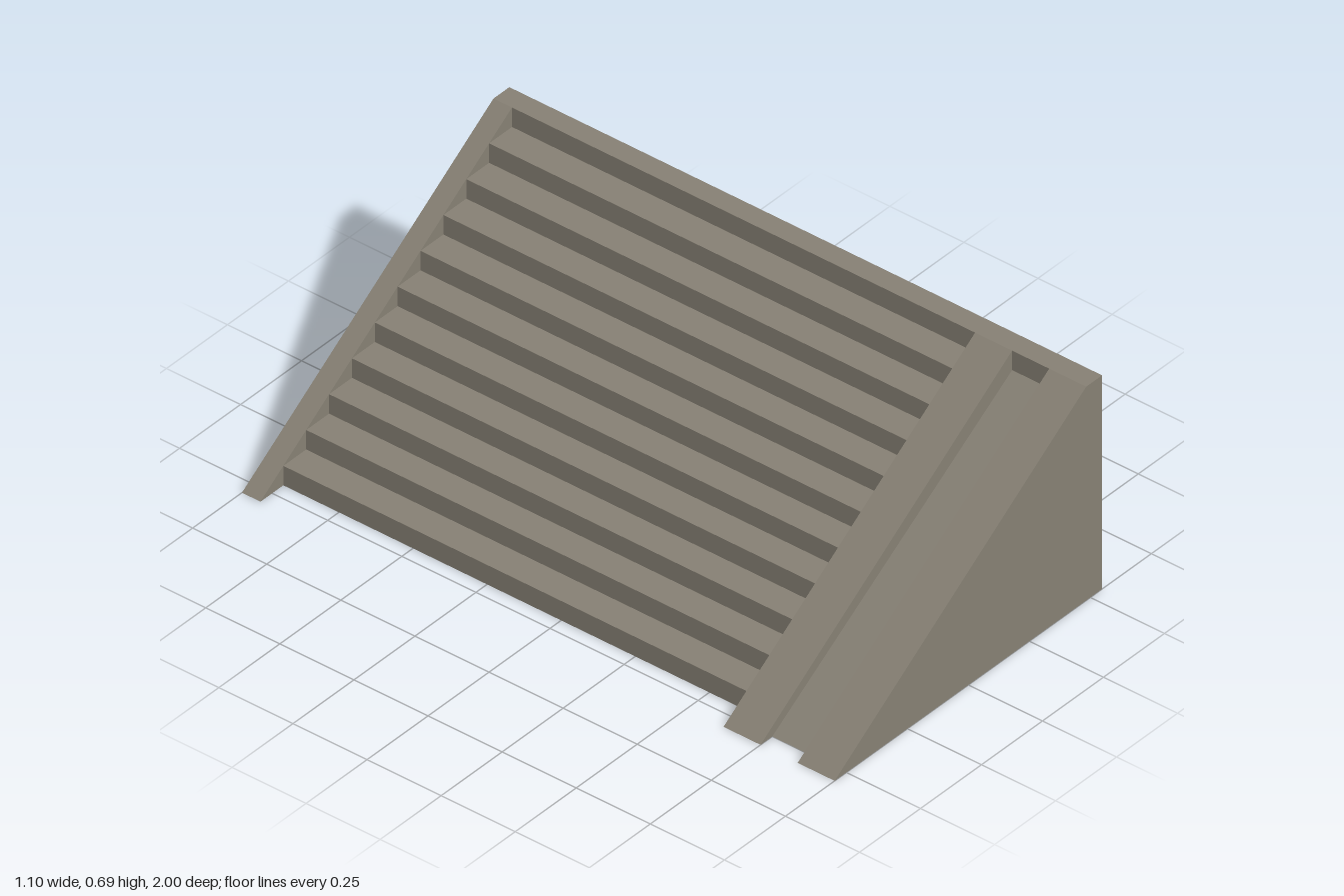
import * as THREE from 'three';

const X0 = -0.548, X1 = 0.548, XTOP = 0.483, H = 0.69;
const STEPS = 11;
const RUN = (XTOP - X0) / STEPS, RISE = H / STEPS;

export function createModel() {
  const group = new THREE.Group();
  group.name = 'stairSlope';
  const concrete = new THREE.MeshStandardMaterial({ color: 0x857f73, side: THREE.DoubleSide });
  concrete.name = 'warm grey concrete';

  const add = (name, geometry) => {
    const mesh = new THREE.Mesh(geometry, concrete);
    mesh.name = name;
    group.add(mesh);
    return mesh;
  };

  // Open sheet: an x-y profile (low to high x) swept from zFront back to zBack
  const sheet = (name, profile, zFront, zBack) => {
    const pos = [];
    for (let i = 0; i < profile.length - 1; i++) {
      const [ax, ay] = profile[i], [bx, by] = profile[i + 1];
      pos.push(ax, ay, zFront, bx, by, zFront, bx, by, zBack);
      pos.push(ax, ay, zFront, bx, by, zBack, ax, ay, zBack);
    }
    const g = new THREE.BufferGeometry();
    g.setAttribute('position', new THREE.Float32BufferAttribute(pos, 3));
    g.computeVertexNormals();
    return add(name, g);
  };

  // Flat upright panel in the x-y plane
  const panel = (name, outline, z) => {
    const shape = new THREE.Shape(outline.map(([x, y]) => new THREE.Vector2(x, y)));
    add(name, new THREE.ShapeGeometry(shape)).position.z = z;
  };

  // Sloping side bands and the level landing along the top
  const slope = [[X0, 0], [XTOP, H]];
  sheet('frontRamp', slope, 1, 0.875);
  sheet('middleRamp', slope, 0.75, 0.625);
  sheet('rearRamp', slope, -0.9375, -1);
  sheet('topLanding', [[XTOP, H], [X1, H]], 1, -1);

  // Sunken channel between the front two ramps, with end wall and cheeks
  const channelTop = H - RISE;
  sheet('channel', [[-0.5, 0], [XTOP, channelTop], [XTOP, H]], 0.875, 0.75);
  for (const z of [0.875, 0.75]) {
    panel('channelCheek', [[X0, 0], [-0.5, 0], [XTOP, channelTop], [XTOP, H]], z);
  }

  // Flight of steps, each nose touching the slope line
  const stairs = [];
  for (let i = 1; i <= STEPS; i++) {
    const x = X0 + i * RUN;
    stairs.push([x, (i - 1) * RISE], [x, i * RISE]);
  }
  sheet('steps', stairs, 0.625, -0.9375);

  // Triangular cheeks that close each step against the ramps
  for (let i = 0; i < STEPS; i++) {
    const x = X0 + i * RUN, y = i * RISE;
    for (const z of [0.625, -0.9375]) {
      panel('stepCheek', [[x, y], [x + RUN, y], [x + RUN, y + RISE]], z);
    }
  }

  // Upright wall under the front edge
  panel('frontWall', [[X0, 0], [X1, 0], [X1, H], [XTOP, H]], 1);

  return group;
}
